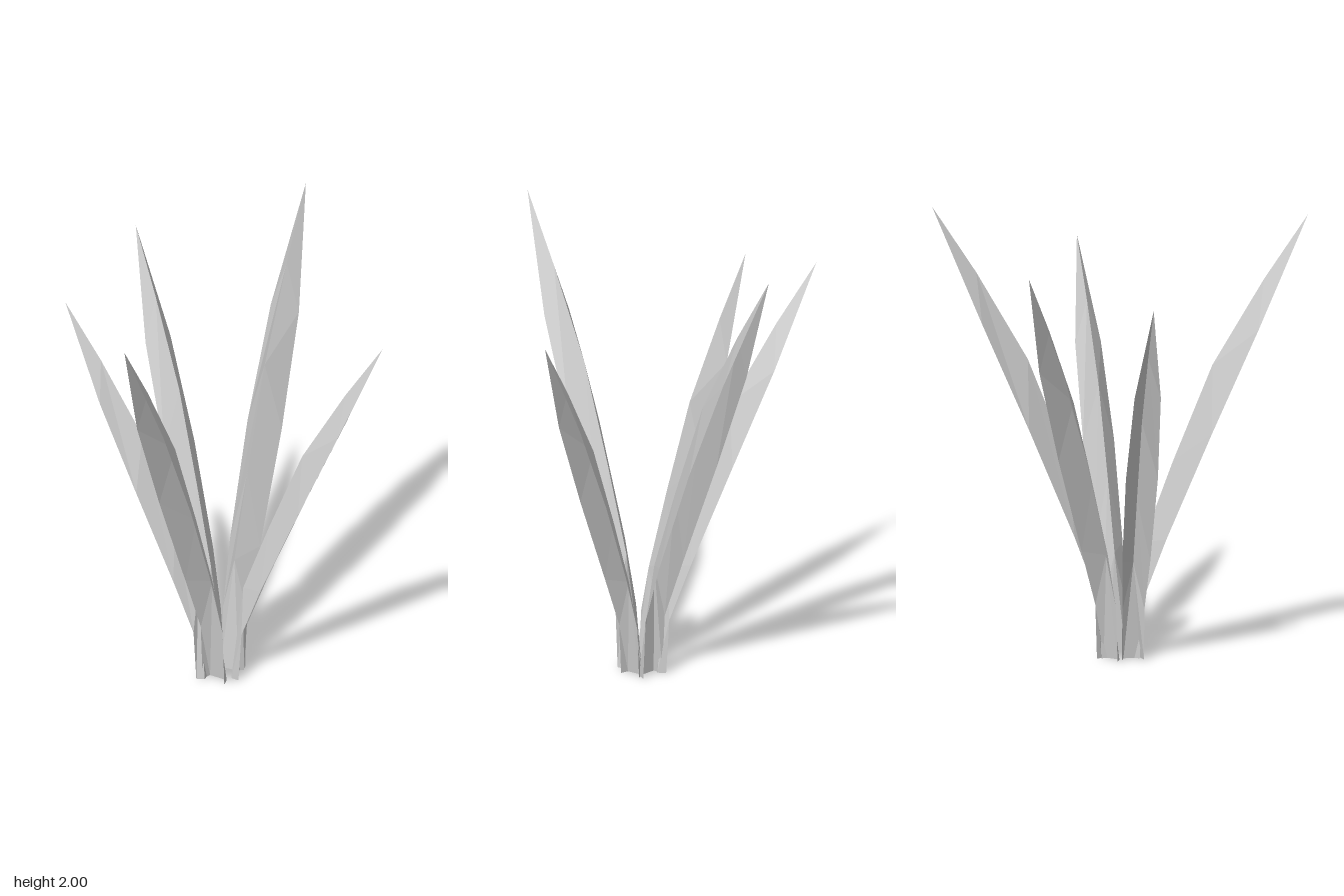
import * as THREE from 'three';

// Stations along one leaf, from base to tip. The leaf is a folded open blade:
// rim = lower outer edges, ridge = raised fold; each is [reach, height, half width].
const RIM = [[0.04, 0, 0.055], [0.055, 0.26, 0.055], [0.155, 0.53, 0.07], [0.35, 1.0, 0.08], [0.55, 1.46, 0.066], [0.76, 1.96, 0]];
const RIDGE = [[0, 0, 0.042], [0.05, 0.5, 0], [0.18, 0.86, 0], [0.35, 1.29, 0], [0.57, 1.67, 0], [0.76, 1.96, 0]];

// One leaf growing toward +z, built from four-point cross-sections
function leafGeometry() {
  const at = ([reach, y, w], side) => new THREE.Vector3(side * w, y, reach);
  const sections = RIM.map((rim, i) => [at(rim, 1), at(RIDGE[i], 1), at(RIDGE[i], -1), at(rim, -1)]);
  const points = [];
  const triangle = (a, b, c) => {
    if (new THREE.Triangle(a, b, c).getArea() > 1e-6) points.push(a, b, c);
  };
  for (let i = 0; i < sections.length - 1; i++) {
    for (let j = 0; j < 3; j++) {
      const a = sections[i][j], b = sections[i][j + 1];
      const c = sections[i + 1][j], d = sections[i + 1][j + 1];
      triangle(a, b, d);
      triangle(a, d, c);
    }
  }
  const geometry = new THREE.BufferGeometry().setFromPoints(points);
  geometry.computeVertexNormals();
  return geometry;
}

// Base position (x, z) and tip position (x, y, z) of each leaf
const LEAVES = [
  { name: 'frontLeaf', base: [0.005, 0.05], tip: [-0.09, 1.96, 0.805] },
  { name: 'backLeaf', base: [0.015, -0.04], tip: [0.022, 2.0, -0.805] },
  { name: 'leftLeaf', base: [0.05, -0.005], tip: [0.7, 1.69, -0.125] },
  { name: 'rightLeaf', base: [-0.045, 0.05], tip: [-0.7, 1.7, 0.09] },
  { name: 'backRightLeaf', base: [-0.045, -0.037], tip: [-0.613, 1.83, -0.44] },
];

export function createModel() {
  const plant = new THREE.Group();
  plant.name = 'plant';
  const geometry = leafGeometry();
  const material = new THREE.MeshStandardMaterial({ color: 0xcccccc, flatShading: true, side: THREE.DoubleSide });

  // Turn and stretch the shared leaf from its base to its tip
  for (const { name, base, tip } of LEAVES) {
    const dx = tip[0] - base[0], dz = tip[2] - base[1];
    const size = tip[1] / 1.96;
    const leaf = new THREE.Mesh(geometry, material);
    leaf.name = name;
    leaf.position.set(base[0], 0, base[1]);
    leaf.rotation.y = Math.atan2(dx, dz);
    leaf.scale.set(size, size, Math.hypot(dx, dz) / 0.76);
    plant.add(leaf);
  }
  return plant;
}
